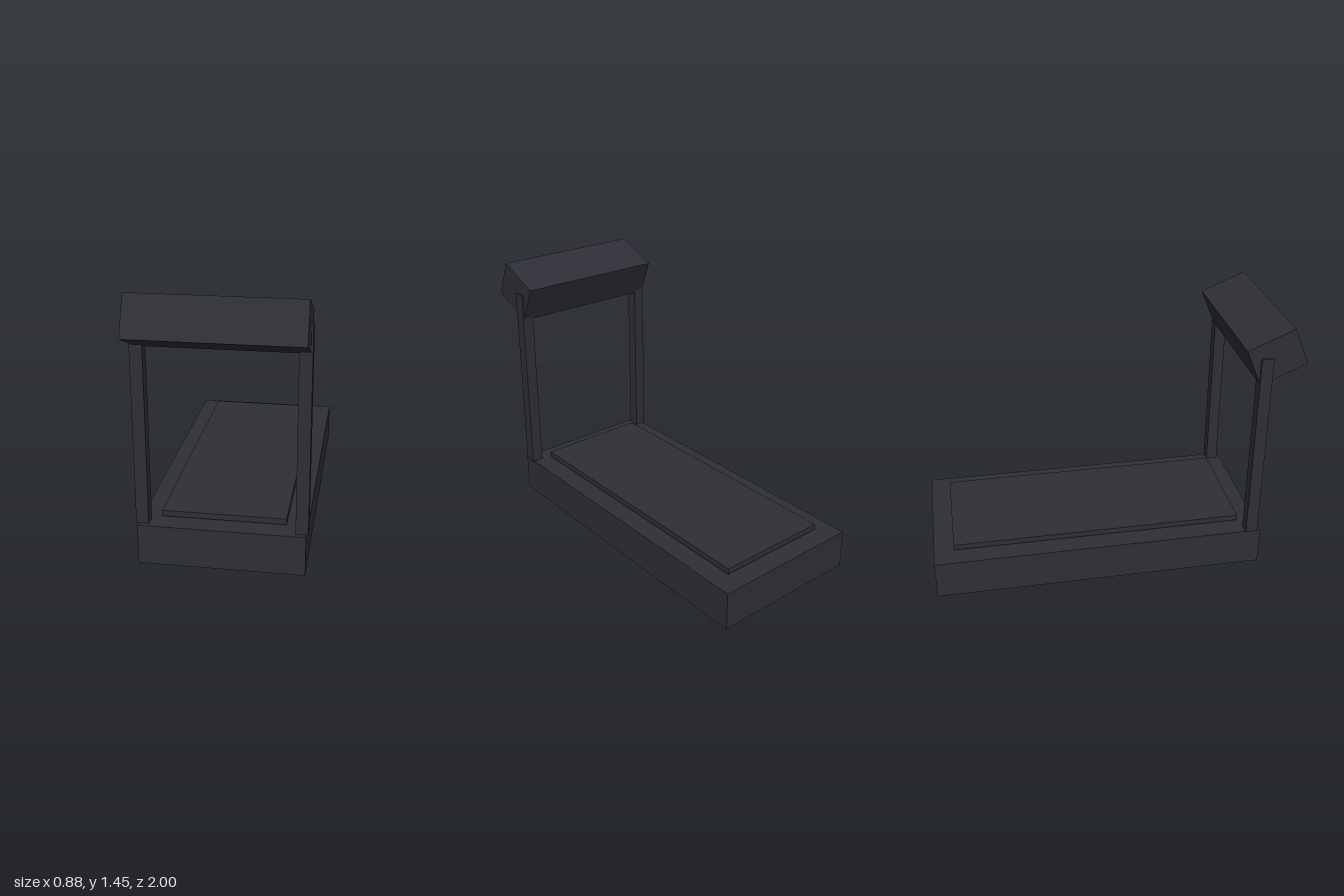
import * as THREE from 'three';

export function createModel() {
  const group = new THREE.Group();
  const charcoal = new THREE.MeshStandardMaterial({ color: 0x2e2e36 });
  charcoal.name = 'charcoal';

  // Box given by its size and centre
  const addBox = (name, [w, h, d], [x, y, z]) => {
    const mesh = new THREE.Mesh(new THREE.BoxGeometry(w, h, d), charcoal);
    mesh.name = name;
    mesh.position.set(x, y, z);
    group.add(mesh);
    return mesh;
  };

  // Deck and the running belt just above it
  addBox('base', [0.86, 0.216, 1.835], [0, 0.108, -0.0825]);
  addBox('runningBelt', [0.645, 0.032, 1.62], [0, 0.239, -0.08]);

  // Uprights, slightly proud of the deck sides
  for (const [side, s] of [['left', 1], ['right', -1]]) {
    addBox(side + 'Upright', [0.065, 1.078, 0.065], [s * 0.4075, 0.757, 0.78]);
  }

  // Tilted console across the uprights
  const console = addBox('console', [0.86, 0.216, 0.27], [0, 1.297, 0.835]);
  console.rotation.x = -0.4;

  return group;
}
